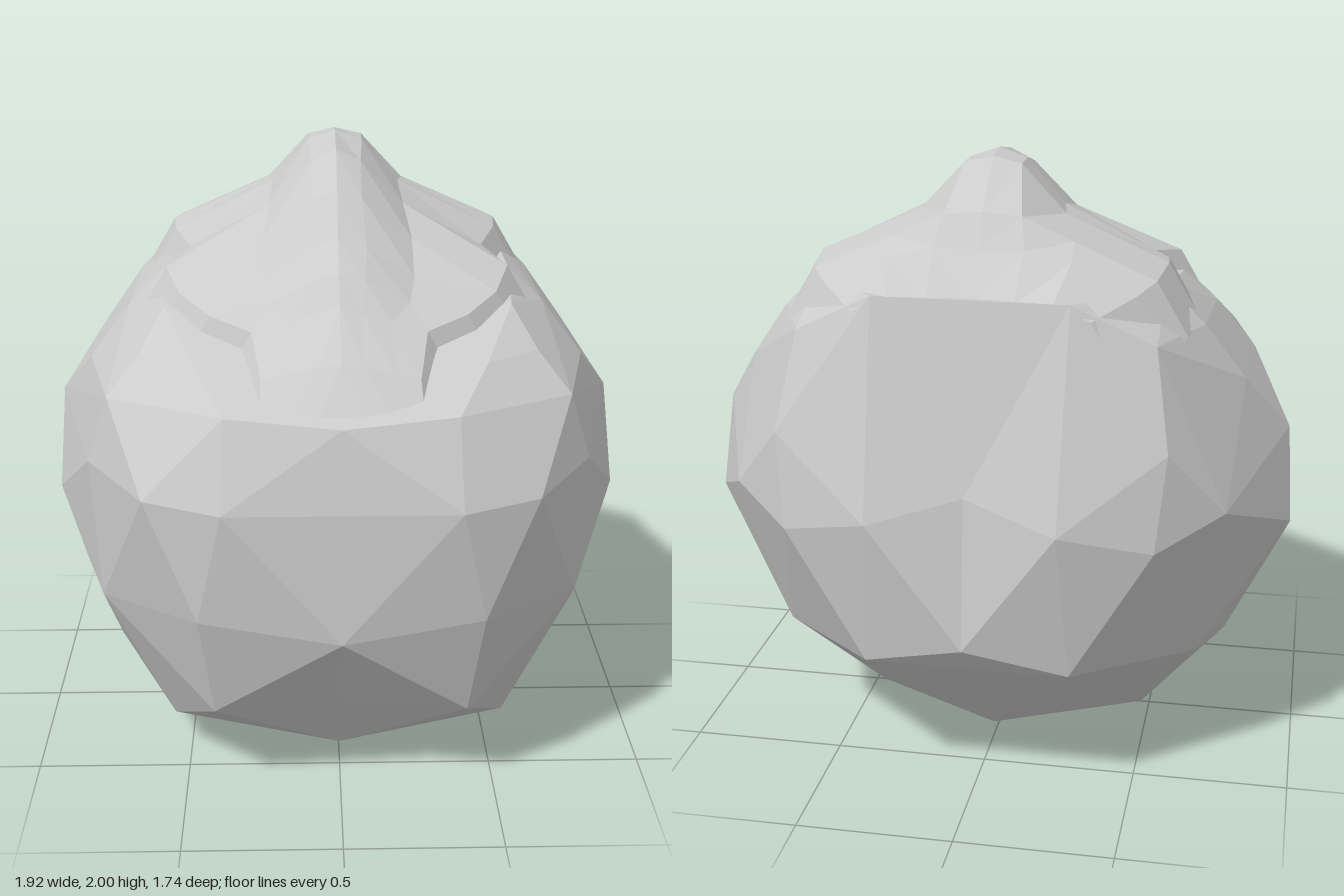
import * as THREE from 'three';
import { ConvexGeometry } from 'three/addons/geometries/ConvexGeometry.js';

// Corners of the boulder's left half (x, y, z); mirrored across x = 0.
const bodyCorners = [
  // underside
  [0.47, 0, 0], [0, 0.03, 0.41], [0.55, 0.14, 0.39], [0, 0.05, -0.33],
  [0.75, 0.28, 0.08], [0.4, 0.32, 0.71], [0.68, 0.42, -0.4], [0.32, 0.48, -0.78],
  // belly
  [0, 0.63, 0.87], [0.87, 0.56, 0.02], [0.76, 0.63, 0.49], [0.44, 0.68, 0.81],
  [0.96, 0.82, -0.22], [0.93, 0.86, 0.12], [0, 0.57, -0.85], [0.57, 0.9, -0.77],
  [0.36, 1.05, 0.86], [0.6, 1.06, 0.76], [0.79, 1.08, 0.47], [0.94, 1.12, -0.15],
  [0.29, 0.97, -0.87], [0.77, 0.98, -0.6],
  // shoulders
  [0, 1.3, 0.81], [0.35, 1.32, 0.76], [0.72, 1.3, 0.5], [0.81, 1.31, 0.1],
  [0.8, 1.32, -0.3], [0.6, 1.2, -0.73], [0.3, 1.63, -0.69],
  [0.62, 1.42, 0.42], [0.45, 1.42, 0.55], [0.68, 1.48, 0.05], [0.67, 1.5, -0.35],
  [0.55, 1.5, -0.63], [0.55, 1.53, 0.28],
  [0.57, 1.58, 0], [0.55, 1.62, -0.35],
];

// Shallow hollows on the centre line: a corner of the hull and where it sinks to.
const hollows = [
  { from: [0, 0.97, -0.89], to: [0, 1.05, -0.8] },
  { from: [0, 0.32, 0.73], to: [0, 0.33, 0.65] },
  { from: [0, -0.02, 0], to: [0, 0.04, 0] },
];

// Slices of the crest, front to back:
// z, centre y, ridge x, ridge y, slope x, slope y, edge x, edge y
const crestSlices = [
  [0.78, 1.3, 0.08, 1.3, 0.16, 1.29, 0.25, 1.27],
  [0.65, 1.45, 0.07, 1.44, 0.16, 1.42, 0.24, 1.4],
  [0.48, 1.58, 0.07, 1.56, 0.16, 1.53, 0.27, 1.5],
  [0.4, 1.66, 0.08, 1.64, 0.22, 1.57, 0.4, 1.53],
  [0.28, 1.74, 0.09, 1.71, 0.24, 1.62, 0.5, 1.57],
  [0.14, 1.87, 0.08, 1.84, 0.24, 1.71, 0.55, 1.62],
  [-0.02, 1.97, 0.08, 1.93, 0.22, 1.79, 0.48, 1.65],
  [-0.2, 2.0, 0.09, 1.97, 0.21, 1.83, 0.54, 1.67],
  [-0.31, 1.99, 0.09, 1.97, 0.23, 1.82, 0.55, 1.68],
  [-0.48, 1.85, 0.12, 1.84, 0.28, 1.77, 0.53, 1.66],
  [-0.55, 1.75, 0.14, 1.75, 0.28, 1.72, 0.48, 1.63],
  [-0.69, 1.6, 0.13, 1.62, 0.25, 1.63, 0.36, 1.58],
];

// Convex hull of the mirrored corners, with the hollows pressed in.
function bodyGeometry() {
  const corners = [...bodyCorners, ...hollows.map((h) => h.from)];
  const geometry = new ConvexGeometry(corners.flatMap(([x, y, z]) =>
    (x ? [x, -x] : [0]).map((px) => new THREE.Vector3(px, y, z))));
  const position = geometry.attributes.position;
  const point = new THREE.Vector3();
  for (let i = 0; i < position.count; i++) {
    point.fromBufferAttribute(position, i);
    const hollow = hollows.find((h) => point.distanceTo(new THREE.Vector3(...h.from)) < 0.001);
    if (hollow) position.setXYZ(i, ...hollow.to);
  }
  geometry.computeVertexNormals();
  return geometry;
}

// Lofts the slices, with a flared skirt that sinks into the body.
function crestGeometry() {
  const positions = [], index = [];
  for (const [z, top, rx, ry, sx, sy, ex, ey] of crestSlices) {
    const half = [[rx, ry], [sx, sy], [ex, ey], [ex + 0.1, ey - 0.17]];
    const loop = [
      ...half.map(([x, y]) => [-x, y]).reverse(), [0, top], ...half,
    ];
    loop.forEach(([x, y]) => positions.push(x, y, z));
  }
  const n = 9;
  for (let i = 0; i < crestSlices.length - 1; i++) {
    for (let j = 0; j < n - 1; j++) {
      const a = i * n + j, b = a + 1, c = a + n, d = c + 1;
      // diagonals mirror about the ridge
      if (j < n >> 1) index.push(a, b, d, a, d, c);
      else index.push(a, b, c, b, d, c);
    }
  }
  const geometry = new THREE.BufferGeometry();
  geometry.setAttribute('position', new THREE.Float32BufferAttribute(positions, 3));
  geometry.setIndex(index);
  geometry.computeVertexNormals();
  return geometry;
}

export function createModel() {
  const group = new THREE.Group();
  group.name = 'boulder';
  const add = (name, geometry, side) => {
    const material = new THREE.MeshStandardMaterial({ color: 0xcccccc, flatShading: true, side });
    const mesh = new THREE.Mesh(geometry, material);
    mesh.name = name;
    group.add(mesh);
  };

  // Faceted round body
  add('body', bodyGeometry(), THREE.FrontSide);

  // Raised crest with its central ridge
  add('crest', crestGeometry(), THREE.DoubleSide);

  return group;
}
